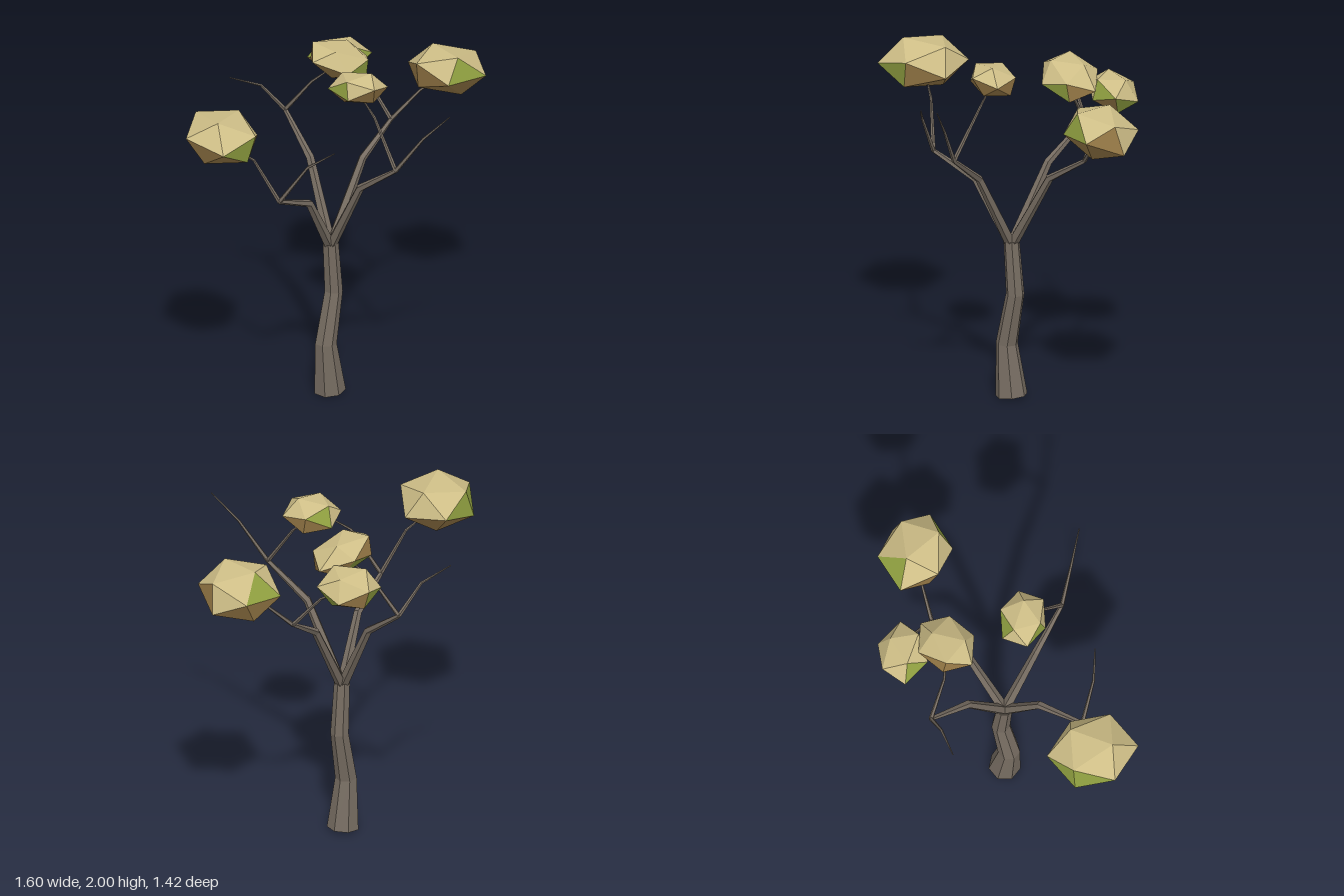
import * as THREE from 'three';
import { ConvexGeometry } from 'three/addons/geometries/ConvexGeometry.js';

function makeMaterial(name, color) {
  const m = new THREE.MeshStandardMaterial({ color, flatShading: true });
  m.name = name;
  return m;
}

// Faceted limb: rings of given radius swept along stations [x, y, z, radius]
function limbGeometry(stations, sides) {
  const pts = stations.map(([x, y, z]) => new THREE.Vector3(x, y, z));
  const positions = [], index = [], last = pts.length - 1;
  pts.forEach((p, i) => {
    const t = pts[Math.min(i + 1, last)].clone().sub(pts[Math.max(i - 1, 0)]).normalize();
    const u = new THREE.Vector3().crossVectors(t, new THREE.Vector3(0, 0, 1)).normalize();
    const v = new THREE.Vector3().crossVectors(t, u);
    for (let j = 0; j < sides; j++) {
      const a = (j / sides) * Math.PI * 2, r = stations[i][3];
      const q = p.clone().addScaledVector(u, Math.cos(a) * r).addScaledVector(v, Math.sin(a) * r);
      positions.push(q.x, q.y, q.z);
    }
  });
  for (let i = 0; i < last; i++) {
    for (let j = 0; j < sides; j++) {
      const a = i * sides + j, b = i * sides + ((j + 1) % sides);
      index.push(a, b, b + sides, a, b + sides, a + sides);
    }
  }
  for (let j = 1; j < sides - 1; j++) {
    const e = last * sides;
    index.push(0, j + 1, j, e, e + j, e + j + 1);
  }
  const indexed = new THREE.BufferGeometry();
  indexed.setAttribute('position', new THREE.Float32BufferAttribute(positions, 3));
  indexed.setIndex(index);
  const g = indexed.toNonIndexed();
  g.computeVertexNormals();
  return g;
}

// Stretched twenty-sided clump: three neighbouring rim corners fix the other nine.
// Upper faces are tan, lower ones brown, and the faces nearest to greenDirs are green.
function clumpGeometry(centre, rim, greenDirs) {
  const c = new THREE.Vector3(...centre);
  const [a, b, d] = rim.map((p) => new THREE.Vector3(...p));
  const lift = a.clone().sub(b).add(d).multiplyScalar(1.41);
  const half = [a, b, d];
  for (const [v, s] of [[b, 0.618], [a, -0.618], [d, -0.618]]) {
    half.push(lift.clone().addScaledVector(v, s));
  }
  const points = half.flatMap((p) => [c.clone().add(p), c.clone().sub(p)]);
  const g = new ConvexGeometry(points);
  const normals = g.getAttribute('normal');
  const faces = [];
  for (let i = 0; i < normals.count; i += 3) {
    faces.push(new THREE.Vector3().fromBufferAttribute(normals, i));
  }
  const slots = faces.map((n) => (n.y > 0.22 ? 0 : 2));
  for (const dir of greenDirs) {
    const v = new THREE.Vector3(...dir).normalize();
    let best = 0;
    faces.forEach((n, i) => { if (n.dot(v) > faces[best].dot(v)) best = i; });
    slots[best] = 1;
  }
  g.clearGroups();
  slots.forEach((s, i) => g.addGroup(i * 3, 3, s));
  return g;
}

export function createModel() {
  const tree = new THREE.Group();
  tree.name = 'tree';
  const bark = makeMaterial('bark', 0x766c61);
  const leaves = [
    makeMaterial('dryLeaf', 0xcdbd86),
    makeMaterial('greenLeaf', 0x8f9f40),
    makeMaterial('brownLeaf', 0x9a7c48),
  ];
  const add = (name, geometry, material) => {
    const mesh = new THREE.Mesh(geometry, material);
    mesh.name = name;
    tree.add(mesh);
  };

  // Trunk
  add('trunk', limbGeometry([
    [-0.04, 0.012, -0.015, 0.09],
    [-0.06, 0.31, 0.01, 0.062],
    [-0.02, 0.61, -0.035, 0.052],
    [-0.035, 0.915, -0.015, 0.045],
  ], 7), bark);

  // Four boughs, each with an elbow, a fork and two bent twigs
  const boughs = [
    { name: 'frontRight', elbow: [-0.14, 1.24, 0.18], fork: [-0.29, 1.355, 0.41],
      twigs: [[[-0.43, 1.61, 0.42], [-0.58, 1.72, 0.45]], [[-0.13, 1.6, 0.475], [0.02, 1.695, 0.485]]] },
    { name: 'backRight', elbow: [-0.16, 1.33, -0.22], fork: [-0.31, 1.52, -0.425],
      twigs: [[[-0.44, 1.69, -0.37], [-0.61, 1.76, -0.31]], [[-0.16, 1.73, -0.35], [-0.03, 1.84, -0.33]]] },
    { name: 'backLeft', elbow: [0.13, 1.335, -0.22], fork: [0.275, 1.485, -0.41],
      twigs: [[[0.43, 1.64, -0.46], [0.56, 1.74, -0.48]], [[0.13, 1.69, -0.51], [0, 1.77, -0.57]]] },
    { name: 'frontLeft', elbow: [0.14, 1.335, 0.165], fork: [0.345, 1.515, 0.31],
      twigs: [[[0.5, 1.74, 0.365], [0.65, 1.9, 0.41]], [[0.22, 1.77, 0.17], [0.13, 1.88, 0.1]]] },
  ];
  for (const { name, elbow, fork, twigs } of boughs) {
    add(name + 'Bough', limbGeometry([
      [-0.035, 0.89, -0.015, 0.032], [...elbow, 0.023], [...fork, 0.013],
    ], 5), bark);
    twigs.forEach(([bend, tip], i) => add(name + 'Twig' + (i + 1), limbGeometry([
      [...fork, 0.013], [...bend, 0.008], [...tip, 0.003],
    ], 5), bark));
  }

  // Leaf clumps: centre, three rim corners from it, directions of green faces
  const clumps = [
    ['frontRightLeaves', [-0.606, 1.767, 0.46],
      [[-0.025, 0, -0.253], [0.19, -0.04, -0.12], [0.194, 0.055, 0.1]],
      [[1, -0.2, 1], [-1, 0.4, -0.4], [-0.5, -0.3, -0.8]]],
    ['backLeftLeaves', [0.579, 1.76, -0.495],
      [[-0.021, 0.005, -0.208], [0.161, -0.085, -0.124], [0.221, 0.005, 0.086]],
      [[0.8, 0.3, 0.6], [-0.5, 0.4, -0.7]]],
    ['frontLeftLeaves', [0.123, 1.912, 0.09],
      [[0.047, 0.025, -0.124], [0.165, 0, -0.021], [0.099, 0.04, 0.116]],
      [[-0.5, -0.1, 0.85], [-0.35, 0.4, -0.9]]],
    ['middleLeaves', [-0.005, 1.88, -0.335],
      [[-0.056, 0.025, -0.155], [0.14, -0.04, -0.14], [0.161, 0.01, 0.021]],
      [[0.4, -0.3, 0.85], [-0.5, -0.2, -0.8]]],
    ['backLeaves', [-0.02, 1.79, -0.575],
      [[-0.1, 0.02, -0.115], [0.07, -0.04, -0.137], [0.18, 0.015, -0.01]],
      [[0.6, 0, 0.8], [-0.8, 0.1, 0.6], [-0.6, 0, -0.8], [0.7, -0.2, -0.6]]],
  ];
  for (const [name, centre, rim, greenDirs] of clumps) {
    add(name, clumpGeometry(centre, rim, greenDirs), leaves);
  }
  return tree;
}
